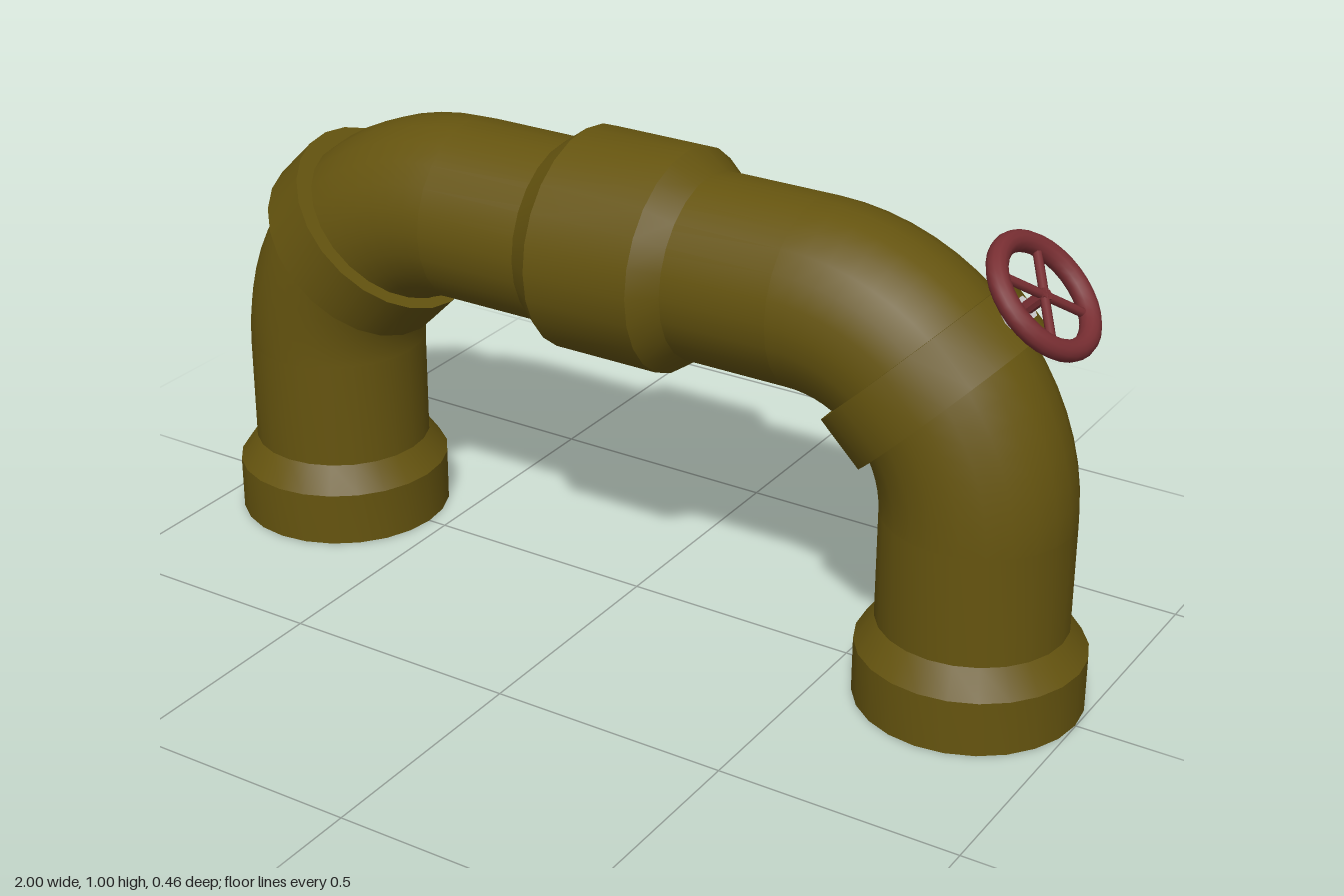
import * as THREE from 'three';
import { toCreasedNormals } from 'three/addons/utils/BufferGeometryUtils.js';

const SIDES = 24;
const PIPE = 0.19;    // pipe radius
const COLLAR = 0.2285; // collar radius
const AXIS = 0.77;    // distance of pipe centre lines from the middle / floor
const BEND = 0.37;    // bend radius
const START = AXIS - BEND; // where the bends begin

const paint = (color) => new THREE.MeshStandardMaterial({ color });

// Turned part around y from [radius, height] points, bottom to top
function turned(name, points, material, sides = SIDES) {
  const profile = points.map(([r, y]) => new THREE.Vector2(r, y));
  const geometry = toCreasedNormals(new THREE.LatheGeometry(profile, sides), 0.5);
  const mesh = new THREE.Mesh(geometry, material);
  mesh.name = name;
  return mesh;
}

// One elbow with its leg, foot collar and mid-bend flange, on the +x side
function createElbow(material) {
  const elbow = new THREE.Group();

  const foot = turned('footCollar',
    [[0, 0], [COLLAR, 0], [COLLAR, 0.115], [PIPE, 0.17]], material);
  foot.position.x = AXIS;

  const leg = turned('leg', [[PIPE, 0.16], [PIPE, START]], material);
  leg.position.x = AXIS;

  const bend = new THREE.Mesh(
    new THREE.TorusGeometry(BEND, PIPE, SIDES, 16, Math.PI / 2), material);
  bend.name = 'bend';
  bend.position.set(START, START, 0);

  const flange = turned('bendFlange',
    [[0, -0.058], [0.223, -0.058], [0.223, 0.058], [0, 0.058]], material);
  const mid = START + BEND * Math.SQRT1_2;
  flange.position.set(mid, mid, 0);
  flange.rotation.z = Math.PI / 4;

  elbow.add(foot, leg, bend, flange);
  return elbow;
}

// Hand wheel on its stem; y points away from the pipe, origin at the flange rim
function createValve() {
  const valve = new THREE.Group();
  valve.name = 'valve';
  const red = paint(0x782e32);
  const grey = paint(0xcccccc);
  const height = 0.078;

  valve.add(
    turned('valveBase', [[0.036, -0.02], [0.036, 0.012], [0, 0.012]], grey, 12),
    turned('valveNut', [[0.026, 0.01], [0.026, 0.032], [0, 0.032]], grey, 6),
    turned('stem', [[0.013, 0.02], [0.013, height + 0.008], [0, height + 0.008]], red, 8));

  const rim = new THREE.Mesh(new THREE.TorusGeometry(0.115, 0.021, 12, 32), red);
  rim.name = 'wheelRim';
  rim.rotation.x = Math.PI / 2;
  rim.position.y = height;
  valve.add(rim);

  // Two crossed bars make the four spokes
  for (const side of [-1, 1]) {
    const bar = new THREE.Mesh(new THREE.CylinderGeometry(0.009, 0.009, 0.22, 8), red);
    bar.name = 'wheelSpokes';
    bar.rotation.set(Math.PI / 2, 0, side * Math.PI / 4);
    bar.position.y = height;
    valve.add(bar);
  }
  return valve;
}

export function createModel() {
  const model = new THREE.Group();
  model.name = 'pipeArch';
  const olive = paint(0x65540f);

  // Two elbows, the second turned half around
  for (const side of ['left', 'right']) {
    const elbow = createElbow(olive);
    elbow.name = side + 'Elbow';
    if (side === 'right') elbow.rotation.y = Math.PI;
    model.add(elbow);
  }

  // Straight pipe across the top with its centre coupling
  const span = new THREE.Group();
  span.name = 'span';
  span.add(
    turned('topPipe', [[PIPE, -START], [PIPE, START]], olive),
    turned('centreCoupling',
      [[PIPE, -0.17], [COLLAR, -0.117], [COLLAR, 0.117], [PIPE, 0.17]], olive));
  span.rotation.z = Math.PI / 2;
  span.position.y = AXIS;
  model.add(span);

  // Valve tilted outward on the left flange
  const valve = createValve();
  const rimPoint = START + (BEND + 0.22) * Math.SQRT1_2;
  valve.position.set(rimPoint, rimPoint, 0);
  valve.rotation.z = -Math.PI / 4;
  model.add(valve);

  return model;
}
